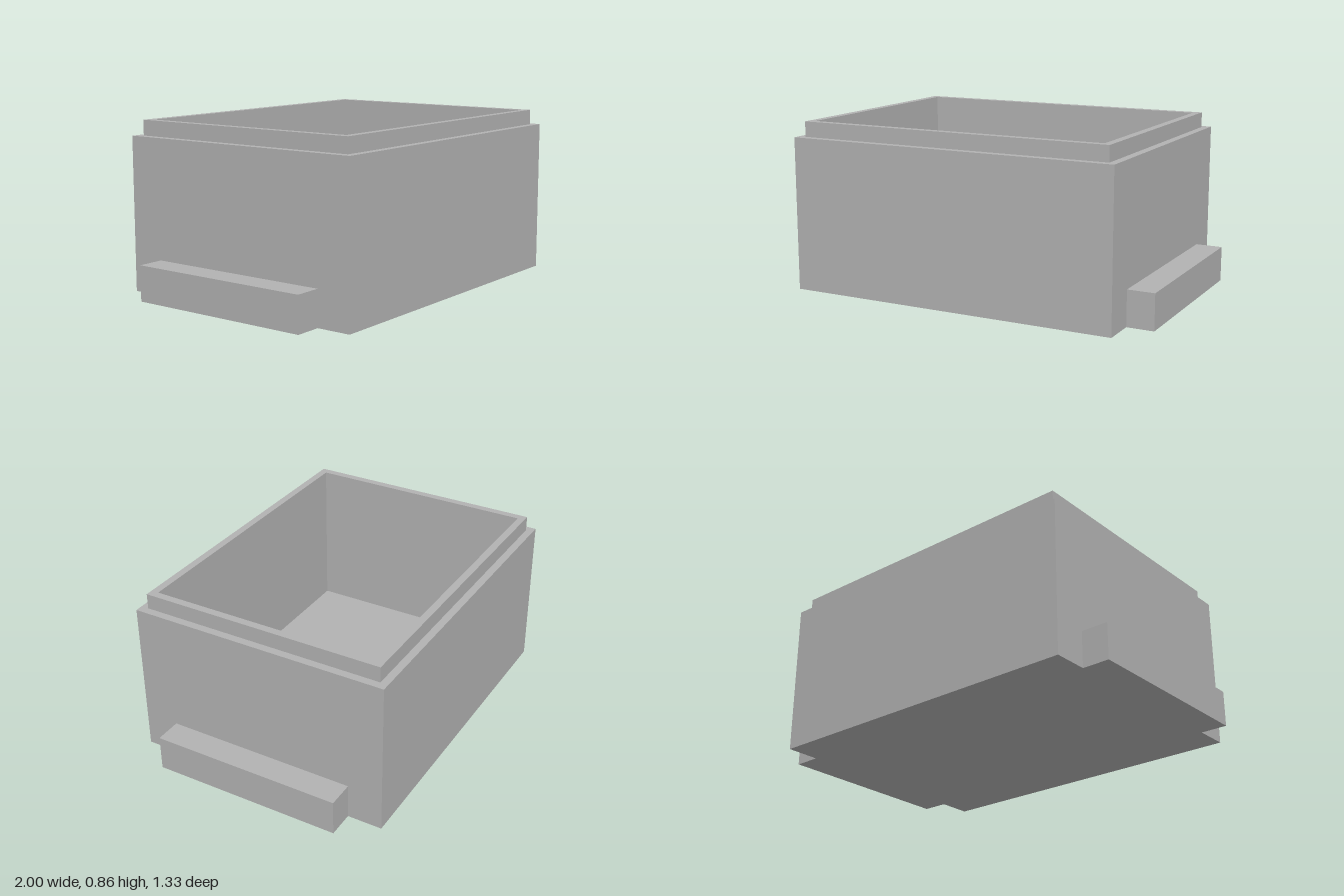
import * as THREE from 'three';

// Rectangular ring standing from y0 to y1, given by half sizes
function frame(outX, outZ, inX, inZ, y0, y1) {
  const rect = (path, x, z) =>
    path.moveTo(-x, -z).lineTo(x, -z).lineTo(x, z).lineTo(-x, z).closePath();
  const shape = rect(new THREE.Shape(), outX, outZ);
  shape.holes.push(rect(new THREE.Path(), inX, inZ));
  const geometry = new THREE.ExtrudeGeometry(shape, { depth: y1 - y0, bevelEnabled: false });
  return geometry.rotateX(-Math.PI / 2).translate(0, y0, 0);
}

export function createModel() {
  const group = new THREE.Group();
  group.name = 'openBox';
  const grey = new THREE.MeshStandardMaterial({ color: 0xb2b2b2 });
  grey.name = 'grey';

  const add = (name, geometry) => {
    const mesh = new THREE.Mesh(geometry, grey);
    mesh.name = name;
    group.add(mesh);
    return mesh;
  };

  const bodyX = 0.863, bodyZ = 0.667, bodyTop = 0.785, floorTop = 0.08;
  const rimX = 0.823, rimZ = 0.628, rimTop = 0.863;
  const innerX = 0.784, innerZ = 0.59;

  // Floor, thick walls and the narrower lip that takes a lid
  add('floor', new THREE.BoxGeometry(bodyX * 2, floorTop, bodyZ * 2).translate(0, floorTop / 2, 0));
  add('walls', frame(bodyX, bodyZ, innerX, innerZ, floorTop, bodyTop));
  add('lip', frame(rimX, rimZ, innerX, innerZ, bodyTop, rimTop));

  // Mounting flanges along the foot of both sides
  const flangeWidth = 1 - bodyX, flangeHeight = 0.18, flangeLength = 0.98;
  for (const [name, side] of [['leftFlange', 1], ['rightFlange', -1]]) {
    const flange = add(name, new THREE.BoxGeometry(flangeWidth, flangeHeight, flangeLength));
    flange.position.set(side * (bodyX + flangeWidth / 2), flangeHeight / 2, 0);
  }
  return group;
}
